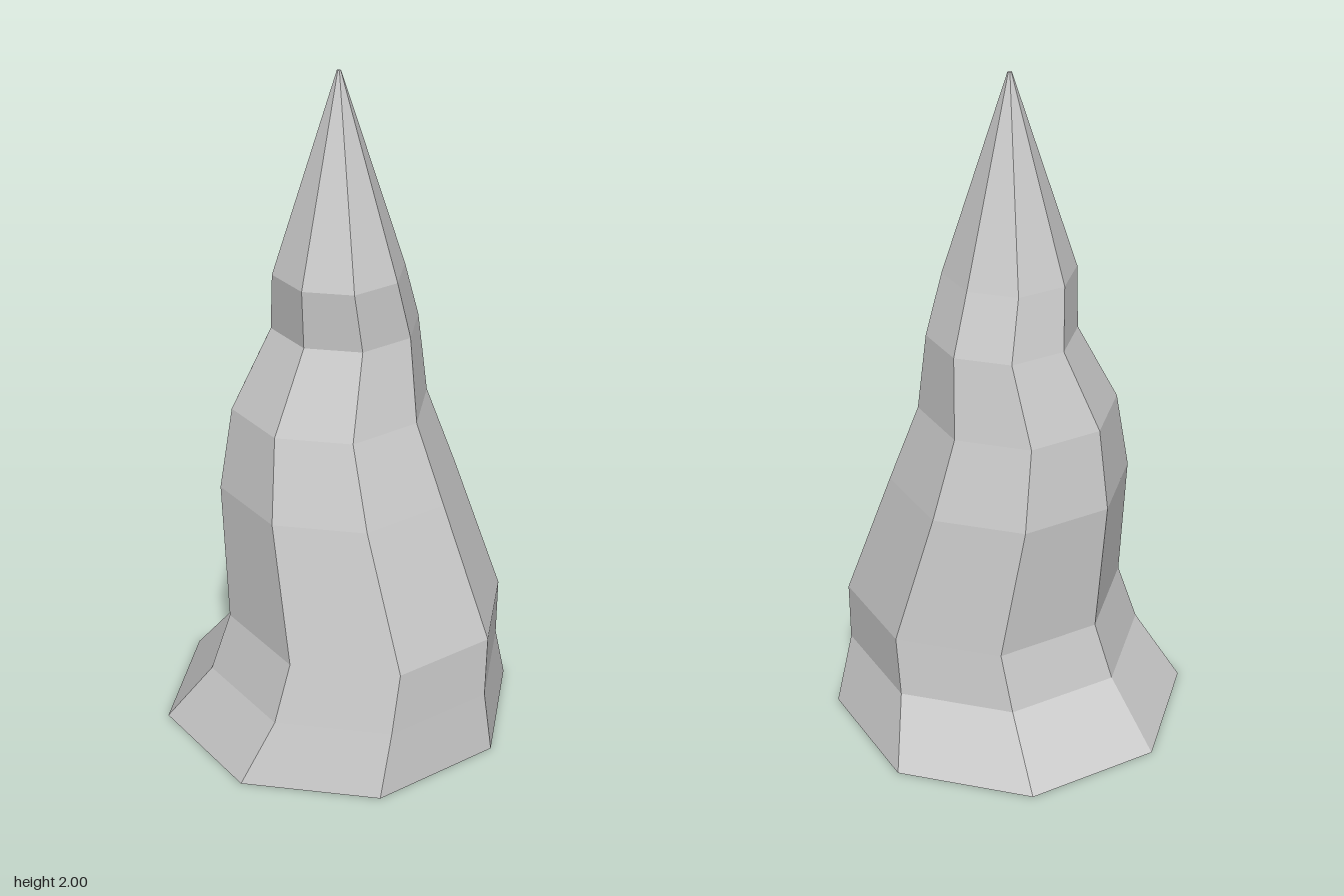
import * as THREE from 'three';

// Rings from base to tip: [height, radius, x shift, z shift]
const RINGS = [
  [0, 0.535, 0, 0],
  [0.195, 0.444, 0.04, 0.058],
  [0.375, 0.415, 0.07, 0.06],
  [0.78, 0.352, 0, 0.002],
  [1.02, 0.288, -0.022, -0.016],
  [1.255, 0.215, 0.025, -0.03],
  [1.43, 0.19, 0, 0],
  [2, 0.006, 0, 0],
];

export function createModel() {
  const group = new THREE.Group();
  group.name = 'stalagmite';

  // Eight-sided unit column, one row per ring, reshaped into a crooked spike
  const rows = RINGS.length - 1;
  const column = new THREE.CylinderGeometry(1, 1, rows, 8, rows);
  const p = column.attributes.position;
  for (let i = 0; i < p.count; i++) {
    const [y, r, dx, dz] = RINGS[Math.round(p.getY(i) + rows / 2)];
    p.setXYZ(i, p.getX(i) * r + dx, y, p.getZ(i) * r + dz);
  }
  const geometry = column.toNonIndexed();
  geometry.computeVertexNormals();

  const spike = new THREE.Mesh(
    geometry,
    new THREE.MeshStandardMaterial({ color: 0xcccccc, flatShading: true })
  );
  spike.name = 'rockSpike';
  group.add(spike);
  return group;
}
